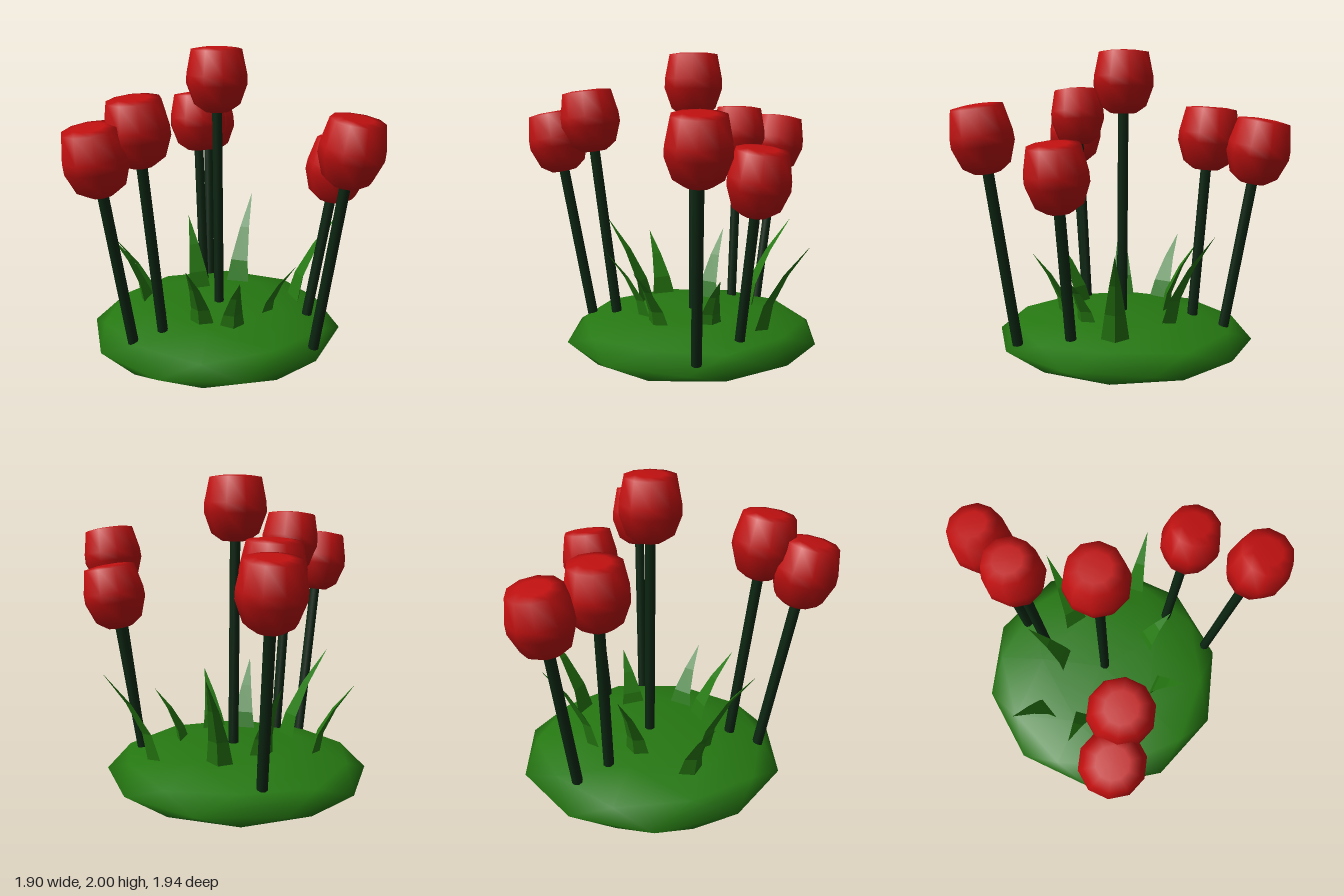
import * as THREE from 'three';
import { mergeVertices } from 'three/addons/utils/BufferGeometryUtils.js';

const mat = (name, color, side = THREE.FrontSide) => {
  const m = new THREE.MeshStandardMaterial({ color, side });
  m.name = name;
  return m;
};

// Squashed faceted ball with smooth normals, one vertex straight up
function moundGeometry() {
  let g = new THREE.IcosahedronGeometry(1, 1);
  g.rotateZ(-Math.atan(2 / (1 + Math.sqrt(5))));
  g.deleteAttribute('uv');
  g.deleteAttribute('normal');
  g = mergeVertices(g, 1e-4);
  g.scale(0.82, 0.17, 0.835);
  g.translate(-0.17, 0.17, -0.045);
  // flatten the upper side a little
  const p = g.attributes.position;
  for (let i = 0; i < p.count; i++) {
    const y = p.getY(i);
    if (y > 0.2) p.setY(i, Math.min(0.335, 0.17 + (y - 0.17) * 1.12));
  }
  g.computeVertexNormals();
  return g;
}

// Curved, tapering blade with a three-cornered section
function bladeGeometry(base, tip, width) {
  const out = new THREE.Vector3(tip.x - base.x, 0, tip.z - base.z);
  const dir = out.clone().normalize();
  const side = new THREE.Vector3(dir.z, 0, -dir.x);
  const rings = [0, 0.3, 0.65, 1].map((t) => {
    const c = base.clone().addScaledVector(out, Math.pow(t, 1.6));
    c.y = base.y + (tip.y - base.y) * t;
    const w = (width / 2) * Math.pow(1 - t, 0.9);
    return [
      c.clone().addScaledVector(side, w),
      c.clone().addScaledVector(side, -w),
      c.clone().addScaledVector(dir, w * 0.6),
    ];
  });
  const pos = [];
  const tri = (...v) => v.forEach((q) => pos.push(q.x, q.y, q.z));
  for (let i = 0; i < rings.length - 1; i++) {
    for (let k = 0; k < 3; k++) {
      const a = rings[i][k], b = rings[i][(k + 1) % 3];
      const c = rings[i + 1][(k + 1) % 3], d = rings[i + 1][k];
      tri(a, d, b);
      if (i < rings.length - 2) tri(b, d, c);
    }
  }
  const g = new THREE.BufferGeometry();
  g.setAttribute('position', new THREE.Float32BufferAttribute(pos, 3));
  g.computeVertexNormals();
  return g;
}

export function createModel() {
  const model = new THREE.Group();
  model.name = 'flowerBed';
  const grass = mat('grassGreen', 0x267812);
  const leafMat = mat('leafGreen', 0x267812, THREE.DoubleSide);
  const stemMat = mat('darkStemGreen', 0x0b2611);
  const red = mat('petalRed', 0xc01010);

  const mound = new THREE.Mesh(moundGeometry(), grass);
  mound.name = 'mound';
  model.add(mound);

  // Bloom: rounded cup shape with a flat closed top
  const bloomGeo = new THREE.LatheGeometry(
    [[0, -0.195], [0.08, -0.19], [0.145, -0.145], [0.19, -0.02], [0.188, 0.04], [0.157, 0.19], [0.09, 0.2], [0, 0.2]]
      .map(([x, y]) => new THREE.Vector2(x, y)), 10);

  // Each flower: stem foot, bloom centre
  const flowers = [
    [[-0.15, 0.30, -0.05], [-0.155, 1.8, -0.05]],
    [[-0.315, 0.30, 0.44], [-0.36, 1.57, 0.58]],
    [[-0.445, 0.26, 0.58], [-0.52, 1.43, 0.77]],
    [[0.57, 0.22, 0.145], [0.77, 1.47, 0.19]],
    [[0.425, 0.29, -0.17], [0.575, 1.26, -0.22]],
    [[-0.43, 0.30, -0.41], [-0.49, 1.45, -0.47]],
    [[-0.48, 0.27, -0.62], [-0.56, 1.38, -0.79]],
  ];
  const up = new THREE.Vector3(0, 1, 0);
  for (const [f, c] of flowers) {
    const foot = new THREE.Vector3(...f), centre = new THREE.Vector3(...c);
    const axis = centre.clone().sub(foot);
    const length = axis.length() - 0.1;
    const flower = new THREE.Group();
    flower.name = 'flower';
    flower.position.copy(foot);
    flower.quaternion.setFromUnitVectors(up, axis.clone().normalize());
    const stem = new THREE.Mesh(new THREE.CylinderGeometry(0.033, 0.033, length, 8), stemMat);
    stem.name = 'stem';
    stem.position.y = length / 2;
    const bloom = new THREE.Mesh(bloomGeo, red);
    bloom.name = 'bloom';
    bloom.position.y = length + 0.1;
    flower.add(stem, bloom);
    model.add(flower);
  }

  // Leaves: base x, z, then tip x, y, z
  const leaves = [
    [-0.175, -0.42, -0.195, 0.9, -0.75],
    [0.255, -0.37, 0.495, 0.86, -0.59],
    [-0.365, -0.20, -0.53, 0.79, -0.38],
    [-0.635, 0.035, -0.885, 0.73, 0.08],
    [-0.425, 0.20, -0.655, 0.88, 0.43],
    [-0.12, 0.275, -0.10, 0.76, 0.54],
    [0.065, 0.24, 0.20, 0.69, 0.43],
    [0.17, -0.055, 0.38, 0.65, -0.06],
  ];
  for (const [bx, bz, tx, ty, tz] of leaves) {
    const leaf = new THREE.Mesh(
      bladeGeometry(new THREE.Vector3(bx, 0.29, bz), new THREE.Vector3(tx, ty, tz), 0.17), leafMat);
    leaf.name = 'leaf';
    model.add(leaf);
  }
  return model;
}
